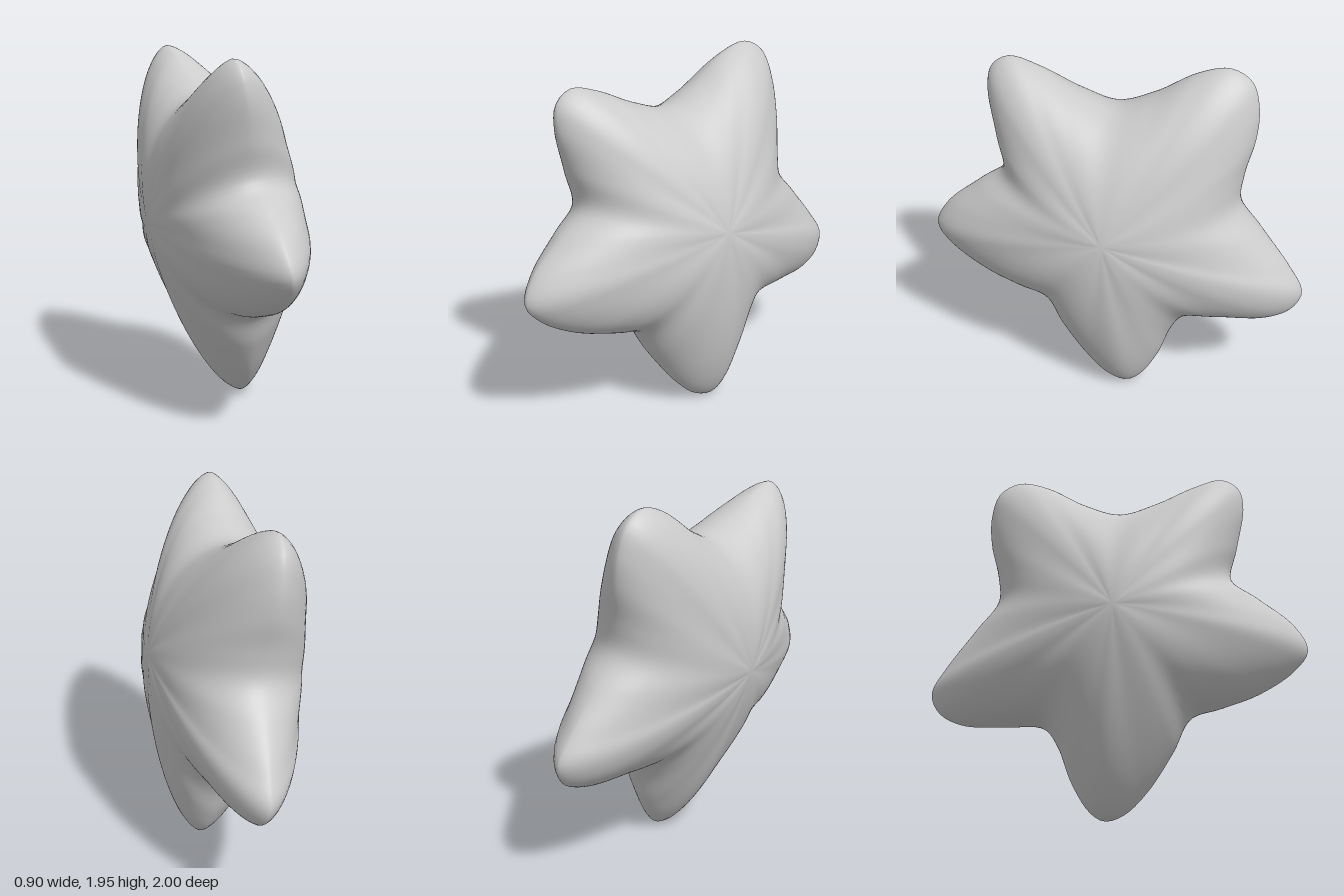
import * as THREE from 'three';
import { mergeVertices } from 'three/addons/utils/BufferGeometryUtils.js';

// Star outline as [z, y], counterclockwise seen from +x
const OUTLINE = [
  [0.55, 1.91], [0.64, 1.85], [0.665, 1.73], [0.63, 1.5], [0.6, 1.3],
  [0.75, 1.18], [0.93, 1.03], [1, 0.89], [0.93, 0.78], [0.75, 0.66], [0.55, 0.59], [0.39, 0.54],
  [0.3, 0.36], [0.17, 0.15], [0.05, 0.03], [-0.05, 0], [-0.13, 0.05], [-0.23, 0.21], [-0.31, 0.41], [-0.39, 0.51],
  [-0.6, 0.525], [-0.82, 0.54], [-0.95, 0.61], [-1, 0.72], [-0.93, 0.86], [-0.78, 1.06], [-0.66, 1.22],
  [-0.67, 1.38], [-0.72, 1.58], [-0.73, 1.75], [-0.69, 1.89], [-0.58, 1.95], [-0.42, 1.91], [-0.2, 1.78],
  [0, 1.71], [0.2, 1.77], [0.4, 1.87],
];
const SEGMENTS = 200, RINGS = 56, HALF_THICKNESS = 0.41;

// The star lies in a plane leaning slightly away from the yz plane
const onPlane = (z, y) => new THREE.Vector3(0.16 - 0.15 * y - 0.27 * z, y, z);

function puffyStar() {
  const center = onPlane(0, 1.07);
  const normal = new THREE.Vector3(1, 0.15, 0.27).normalize();
  const curve = new THREE.CatmullRomCurve3(OUTLINE.map(([z, y]) => onPlane(z, y)), true);
  const rim = curve.getSpacedPoints(SEGMENTS).map(p => p.sub(center));
  const positions = [], index = [];

  for (let j = 0; j <= RINGS; j++) {
    const t = Math.PI * j / RINGS;
    const rho = Math.sin(t), side = Math.sign(Math.cos(t));
    for (let i = 0; i <= SEGMENTS; i++) {
      const spoke = rim[i % SEGMENTS];
      // arms taper more than the full, rounded middle
      const s = THREE.MathUtils.smoothstep(spoke.length(), 0.6, 1.05);
      const dome = Math.pow(Math.max(0, 1 - Math.pow(rho, 2 - 0.5 * s)), 0.5 + 0.15 * s);
      const p = center.clone().addScaledVector(spoke, rho)
        .addScaledVector(normal, side * HALF_THICKNESS * dome);
      positions.push(p.x, p.y, p.z);
    }
  }
  const row = SEGMENTS + 1;
  for (let j = 0; j < RINGS; j++) {
    for (let i = 0; i < SEGMENTS; i++) {
      const a = j * row + i, b = a + row;
      if (j < RINGS - 1) index.push(a, b, b + 1);
      else index.push(a, b, a + 1);
      if (j > 0 && j < RINGS - 1) index.push(a, b + 1, a + 1);
    }
  }
  let geometry = new THREE.BufferGeometry();
  geometry.setAttribute('position', new THREE.Float32BufferAttribute(positions, 3));
  geometry.setIndex(index);
  geometry = mergeVertices(geometry, 1e-5);
  geometry.computeVertexNormals();
  return geometry;
}

export function createModel() {
  const group = new THREE.Group();
  group.name = 'star';
  const body = new THREE.Mesh(puffyStar(), new THREE.MeshStandardMaterial({ color: 0xcccccc }));
  body.name = 'starBody';
  group.add(body);
  return group;
}
